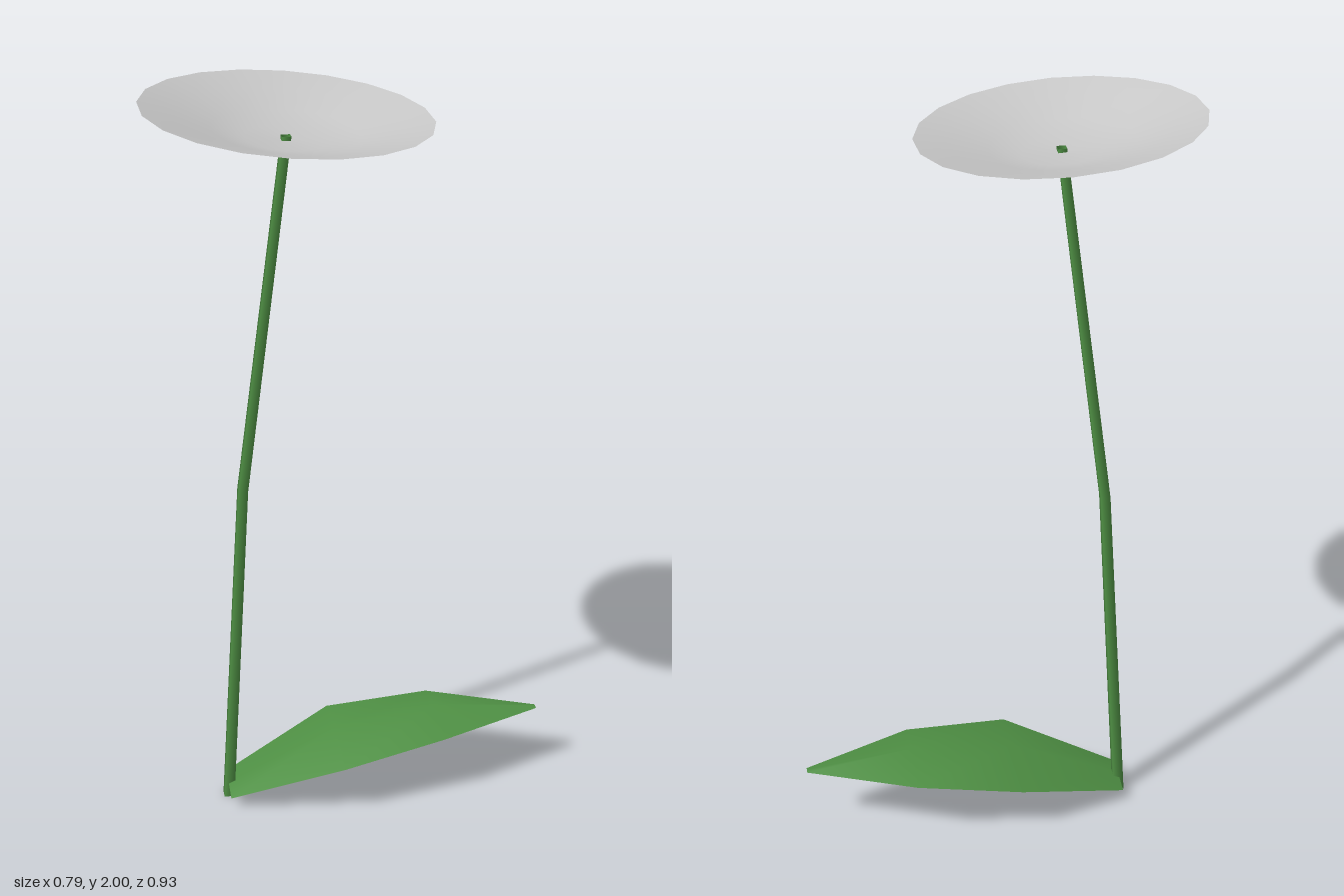
import * as THREE from 'three';

const green = new THREE.MeshStandardMaterial({ color: 0x4f9044 });
green.name = 'leafGreen';
const leafMaterial = green;
leafMaterial.side = THREE.DoubleSide;
const grey = new THREE.MeshStandardMaterial({ color: 0xc8c8c8, side: THREE.DoubleSide });
grey.name = 'petalGrey';

// Four-sided stalk whose three rings follow a bent centre line
function createStem() {
  const path = [[-0.046, 1.915, 0.112], [-0.166, 0.96, 0.155], [-0.224, 0, 0.172]];
  const radii = [0.016, 0.018, 0.02];
  const geometry = new THREE.CylinderGeometry(1, 1, 2, 4, 2, true);
  const pos = geometry.attributes.position;
  for (let i = 0; i < pos.count; i++) {
    const ring = Math.round(1 - pos.getY(i));
    const [x, y, z] = path[ring];
    pos.setXYZ(i, x + pos.getX(i) * radii[ring], y, z + pos.getZ(i) * radii[ring]);
  }
  const mesh = new THREE.Mesh(geometry, green);
  mesh.name = 'stem';
  return mesh;
}

// Shallow dish, tipped slightly on top of the stem
function createFlower() {
  const profile = [[0, -0.068], [0.1, -0.065], [0.18, -0.047], [0.27, -0.022], [0.356, 0]]
    .map(([r, y]) => new THREE.Vector2(r, y));
  const mesh = new THREE.Mesh(new THREE.LatheGeometry(profile, 20, 0.045), grey);
  mesh.name = 'flowerDish';
  mesh.position.set(-0.044, 1.973, 0.11);
  const normal = new THREE.Vector3(0.079, 1, -0.031).normalize();
  mesh.quaternion.setFromUnitVectors(new THREE.Vector3(0, 1, 0), normal);
  return mesh;
}

// Arched leaf: each cross-section has two edges and a raised midrib
function createLeaf() {
  // centre x, centre z, half-width (x and z), edge y, midrib y
  const sections = [
    [-0.22, 0.178, 0.049, 0.035, 0.045],
    [-0.01, -0.044, 0.117, 0.155, 0.19],
    [0.183, -0.255, 0.092, 0.192, 0.226],
    [0.388, -0.462, 0.007, 0.19, 0.193],
  ];
  const points = [];
  const index = [];
  sections.forEach(([x, z, w, edge, rib], row) => {
    points.push(x - w, edge, z - w, x, rib, z, x + w, edge, z + w);
    if (row === 0) return;
    for (let col = 0; col < 2; col++) {
      const a = (row - 1) * 3 + col;
      const b = a + 3;
      index.push(a, a + 1, b, a + 1, b + 1, b);
    }
  });
  const geometry = new THREE.BufferGeometry();
  geometry.setAttribute('position', new THREE.Float32BufferAttribute(points, 3));
  geometry.setIndex(index);
  geometry.computeVertexNormals();
  const mesh = new THREE.Mesh(geometry, leafMaterial);
  mesh.name = 'leaf';
  return mesh;
}

export function createModel() {
  const group = new THREE.Group();
  group.name = 'flower';
  group.add(createStem(), createFlower(), createLeaf());
  return group;
}
